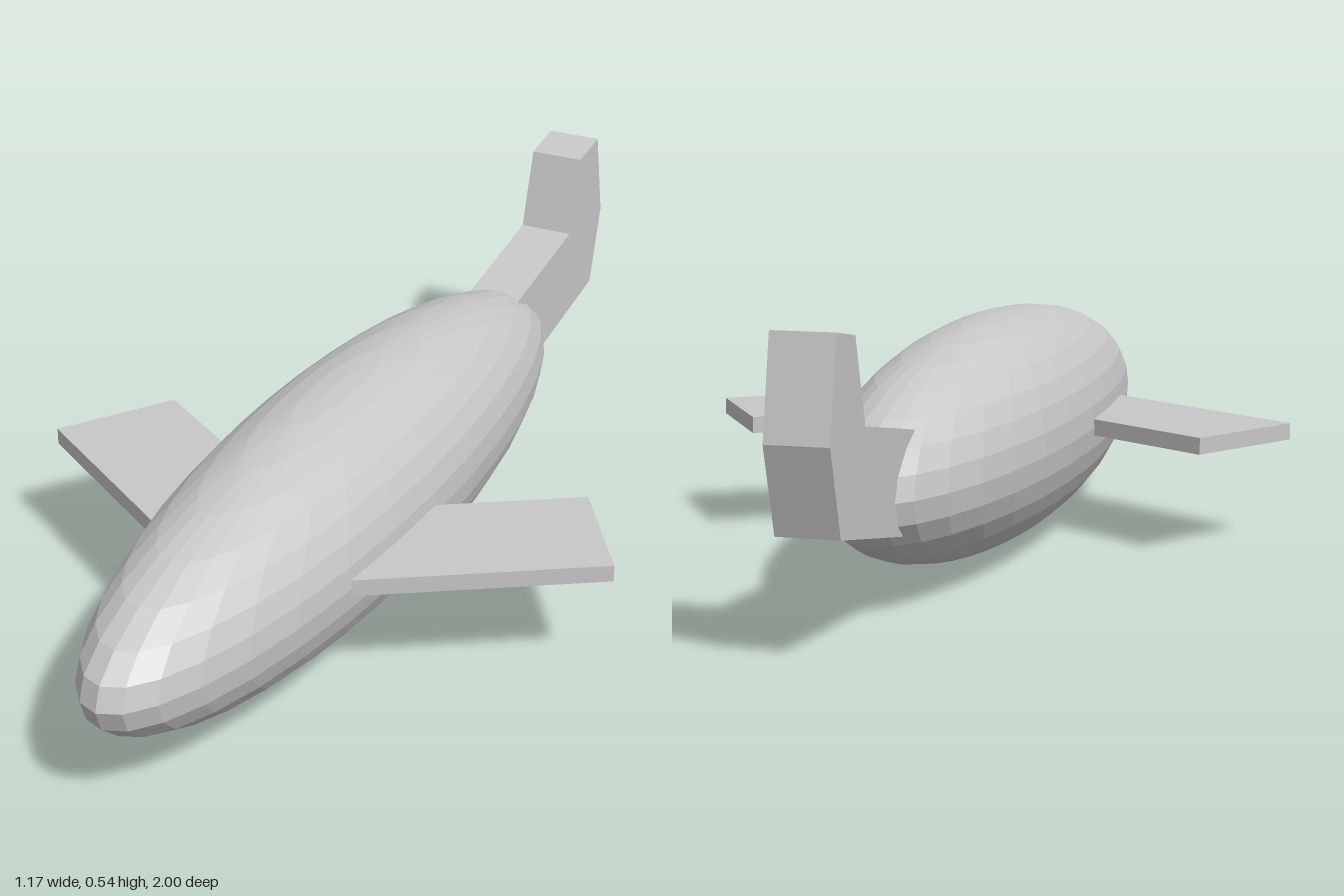
import * as THREE from 'three';

// Flat slab from an outline, extruded and centred on its thickness
function slab(points, thickness) {
  const shape = new THREE.Shape(points.map(([a, b]) => new THREE.Vector2(a, b)));
  const geometry = new THREE.ExtrudeGeometry(shape, { depth: thickness, bevelEnabled: false });
  return geometry.translate(0, 0, -thickness / 2);
}

export function createModel() {
  const model = new THREE.Group();
  model.name = 'airship';

  const grey = new THREE.MeshStandardMaterial({ color: 0xc8c8c8, flatShading: true });
  grey.name = 'light grey';

  const add = (name, geometry) => {
    const mesh = new THREE.Mesh(geometry, grey);
    mesh.name = name;
    model.add(mesh);
    return mesh;
  };

  // Long ellipsoid body
  const body = add('body', new THREE.SphereGeometry(1, 32, 16));
  body.scale.set(0.208, 0.217, 0.851);
  body.position.set(0, 0.218, 0.149);

  // Wings: outline in x and z, swept back, roots buried in the body
  for (const side of [1, -1]) {
    const outline = [[0.445, 0], [0.583, 0.212], [0.12, 0.513], [-0.018, 0.301]];
    const wing = slab(outline.map(([x, z]) => [x * side, z]), 0.032);
    wing.rotateX(Math.PI / 2).translate(0, 0.219, 0);
    add(side > 0 ? 'leftWing' : 'rightWing', wing);
  }

  // Bent tail: outline in z and y, extruded across x
  const tail = slab([
    [-0.5, 0.315], [-0.825, 0.375], [-0.872, 0.528], [-0.965, 0.544],
    [-1, 0.37], [-0.952, 0.215], [-0.5, 0.13],
  ], 0.11);
  add('tail', tail.rotateY(-Math.PI / 2));

  return model;
}
